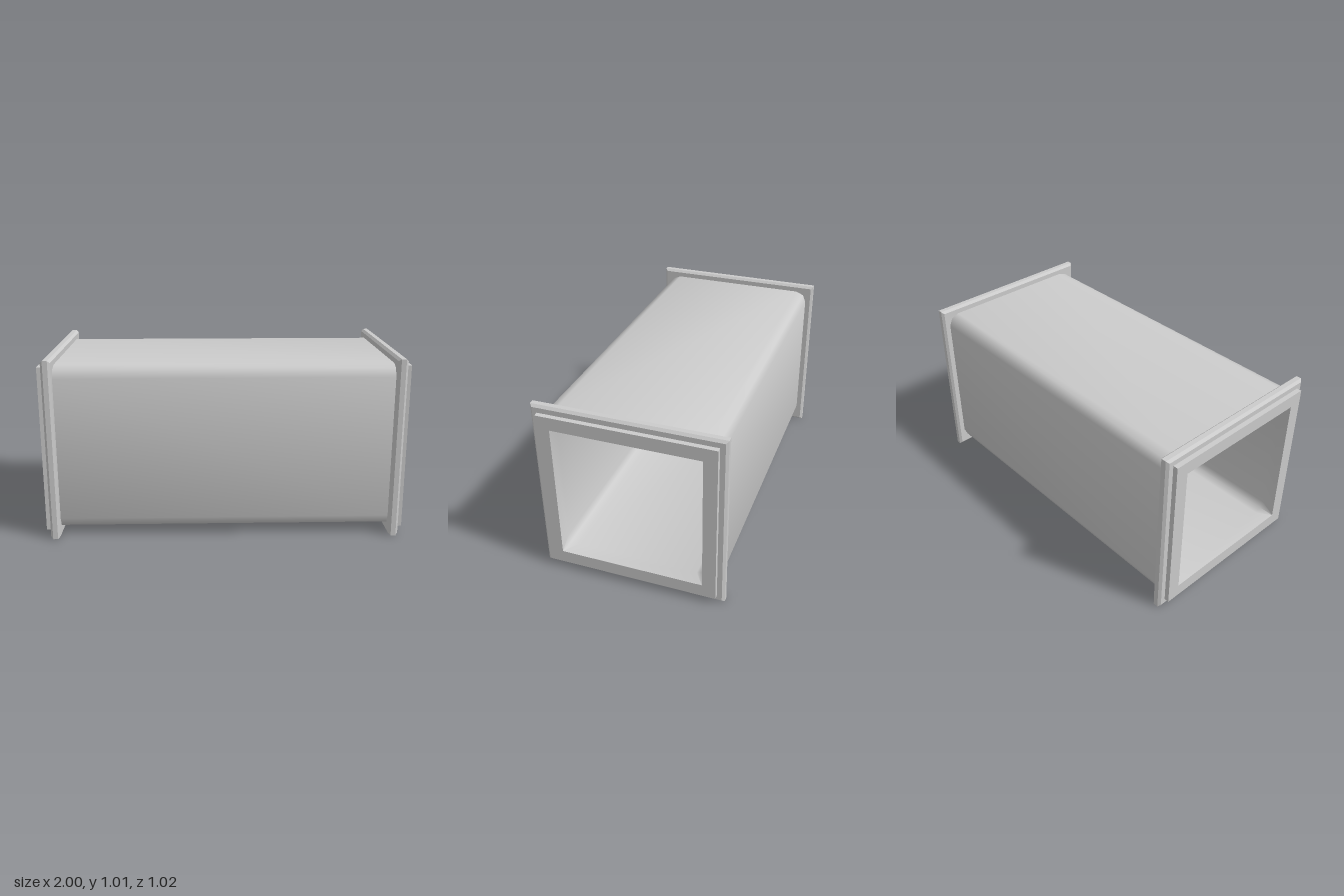
import * as THREE from 'three';
import { toCreasedNormals } from 'three/addons/utils/BufferGeometryUtils.js';

const SEG = 2; // segments per rounded corner

// rectangular section in the yz plane, corners rounded by r
function section([x, hy, hz, r]) {
  const pts = [];
  for (let q = 0; q < 4; q++) {
    const sy = q === 0 || q === 3 ? 1 : -1;
    const sz = q < 2 ? 1 : -1;
    for (let k = 0; k <= SEG; k++) {
      const a = (q + k / SEG) * Math.PI / 2;
      pts.push(new THREE.Vector3(x, sy * (hy - r) + r * Math.cos(a), sz * (hz - r) + r * Math.sin(a)));
    }
  }
  return pts;
}

// skin through successive sections [x, halfHeight, halfDepth, cornerRadius]
function loft(name, sections, crease) {
  const rings = sections.map(section);
  const pos = [];
  const tri = (a, b, c) => {
    if (new THREE.Triangle(a, b, c).getArea() < 1e-9) return;
    for (const p of [a, b, c]) pos.push(p.x, p.y, p.z);
  };
  for (let i = 0; i < rings.length - 1; i++) {
    const n = rings[i].length;
    for (let j = 0; j < n; j++) {
      const k = (j + 1) % n;
      const a = rings[i][j], b = rings[i][k], c = rings[i + 1][k], d = rings[i + 1][j];
      tri(a, b, c);
      tri(a, c, d);
    }
  }
  const geo = new THREE.BufferGeometry();
  geo.setAttribute('position', new THREE.Float32BufferAttribute(pos, 3));
  const mat = new THREE.MeshStandardMaterial({ color: 0xcccccc });
  const mesh = new THREE.Mesh(toCreasedNormals(geo, crease), mat);
  mesh.name = name;
  return mesh;
}

export function createModel() {
  const model = new THREE.Group();
  model.name = 'rectangularDuct';
  const duct = new THREE.Group();
  duct.position.y = 0.505;
  model.add(duct);

  // rounded outer skin
  duct.add(loft('outerWall', [[-0.93, 0.464, 0.469, 0.065], [0.93, 0.464, 0.469, 0.065]], 0.9));

  // inner skin: rounded corners turning square at both mouths
  duct.add(loft('innerWall', [
    [1, 0.391, 0.398, 0], [0.92, 0.391, 0.398, 0.055],
    [-0.92, 0.391, 0.398, 0.055], [-1, 0.391, 0.398, 0],
  ], 0.9));

  // collar and bevelled flange on each end
  for (const [side, turn] of [['left', 0], ['right', Math.PI]]) {
    const end = new THREE.Group();
    end.name = side + 'End';
    end.rotation.y = turn;
    end.add(loft('collar', [
      [0.93, 0.464, 0.471, 0], [1, 0.464, 0.471, 0], [1, 0.391, 0.398, 0],
    ], 0.5));
    end.add(loft('flange', [
      [0.92, 0.44, 0.44, 0], [0.92, 0.492, 0.498, 0], [0.933, 0.505, 0.511, 0],
      [0.96, 0.505, 0.511, 0], [0.973, 0.492, 0.498, 0], [0.973, 0.44, 0.44, 0],
    ], 0.5));
    duct.add(end);
  }
  return model;
}
